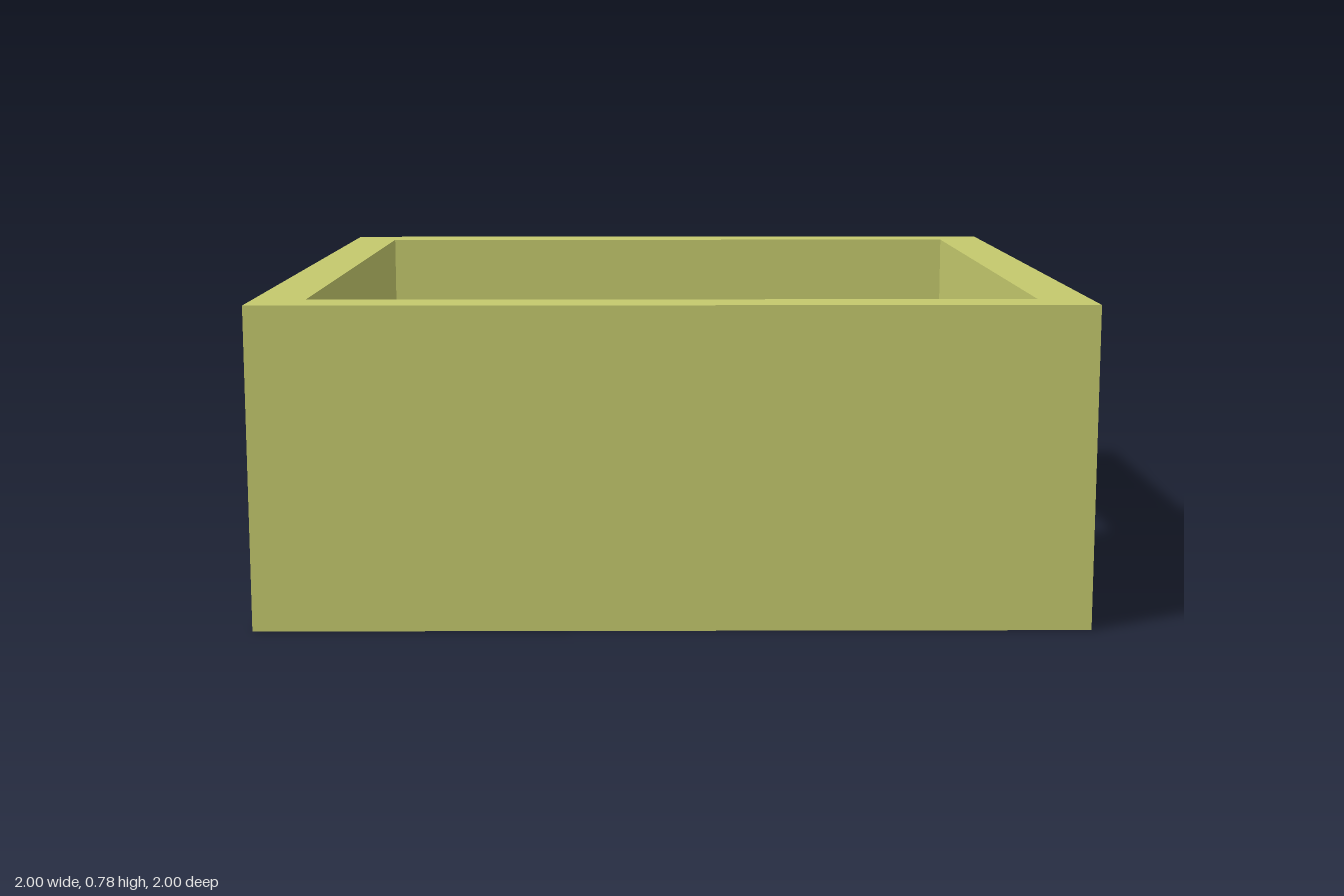
import * as THREE from 'three';
import { mergeGeometries } from 'three/addons/utils/BufferGeometryUtils.js';

const H = 0.78, FLOOR = 0.04, OUT = 1, IN = 0.873;
const WIN = { half: 0.153, y0: 0.21, y1: 0.57 };

function rect(target, x0, y0, x1, y1) {
  target.moveTo(x0, y0);
  target.lineTo(x1, y0);
  target.lineTo(x1, y1);
  target.lineTo(x0, y1);
  target.closePath();
  return target;
}

// Flat rectangle facing +z, with an optional rectangular hole
function panel(x0, y0, x1, y1, hole) {
  const shape = rect(new THREE.Shape(), x0, y0, x1, y1);
  if (hole) shape.holes.push(rect(new THREE.Path(), ...hole));
  return new THREE.ShapeGeometry(shape);
}

// One continuous shell: floor, rim, four walls and the window reveals
function roomGeometry() {
  const parts = [
    panel(-OUT, -OUT, OUT, OUT, [-IN, -IN, IN, IN]).rotateX(-Math.PI / 2).translate(0, H, 0),
    panel(-IN, -IN, IN, IN).rotateX(-Math.PI / 2).translate(0, FLOOR, 0),
    panel(-OUT, -OUT, OUT, OUT).rotateX(Math.PI / 2),
  ];
  const { half, y0, y1 } = WIN;
  const depth = OUT - IN, mid = (OUT + IN) / 2;
  for (let i = 0; i < 4; i++) {
    const turn = i * Math.PI / 2;
    const hasWindow = i % 2 === 1;
    const hole = hasWindow ? [-half, y0, half, y1] : null;
    const faces = [
      panel(-OUT, 0, OUT, H, hole).translate(0, 0, OUT),
      panel(-IN, FLOOR, IN, H, hole).rotateY(Math.PI).translate(0, 0, IN),
    ];
    if (hasWindow) {
      const sill = () => new THREE.PlaneGeometry(half * 2, depth);
      const jamb = () => new THREE.PlaneGeometry(depth, y1 - y0);
      faces.push(
        sill().rotateX(-Math.PI / 2).translate(0, y0, mid),
        sill().rotateX(Math.PI / 2).translate(0, y1, mid),
        jamb().rotateY(Math.PI / 2).translate(-half, (y0 + y1) / 2, mid),
        jamb().rotateY(-Math.PI / 2).translate(half, (y0 + y1) / 2, mid),
      );
    }
    faces.forEach((f) => parts.push(f.rotateY(turn)));
  }
  return mergeGeometries(parts);
}

export function createModel() {
  const model = new THREE.Group();
  const add = (name, geometry, color, parent = model) => {
    const mesh = new THREE.Mesh(geometry, new THREE.MeshStandardMaterial({ color }));
    mesh.name = name;
    parent.add(mesh);
    return mesh;
  };

  add('room', roomGeometry(), 0xc4c96d);

  // Wall board on the inside of the front wall
  const board = new THREE.Group();
  board.name = 'wallBoard';
  model.add(board);
  const x0 = -0.59, x1 = 0.6, y0 = 0.17, y1 = 0.715, bar = 0.025;
  const zFront = 0.822, zMid = 0.846;
  add('boardPanel', new THREE.BoxGeometry(x1 - x0, y1 - y0, IN - zMid), 0xd09a80, board)
    .position.set((x0 + x1) / 2, (y0 + y1) / 2, (IN + zMid) / 2);

  // Raised border around the board
  const border = rect(new THREE.Shape(), x0, y0, x1, y1);
  border.holes.push(rect(new THREE.Path(), x0 + bar, y0 + bar, x1 - bar, y1 - bar));
  add('boardFrame', new THREE.ExtrudeGeometry(border, { depth: zMid - zFront, bevelEnabled: false }), 0x7a3018, board)
    .position.z = zFront;

  // Small bin standing beside the board
  const binTop = 0.176;
  add('bin', new THREE.CylinderGeometry(0.04, 0.04, binTop - FLOOR, 32), 0xb0b0b0)
    .position.set(0.635, (binTop + FLOOR) / 2, 0.77);

  return model;
}
